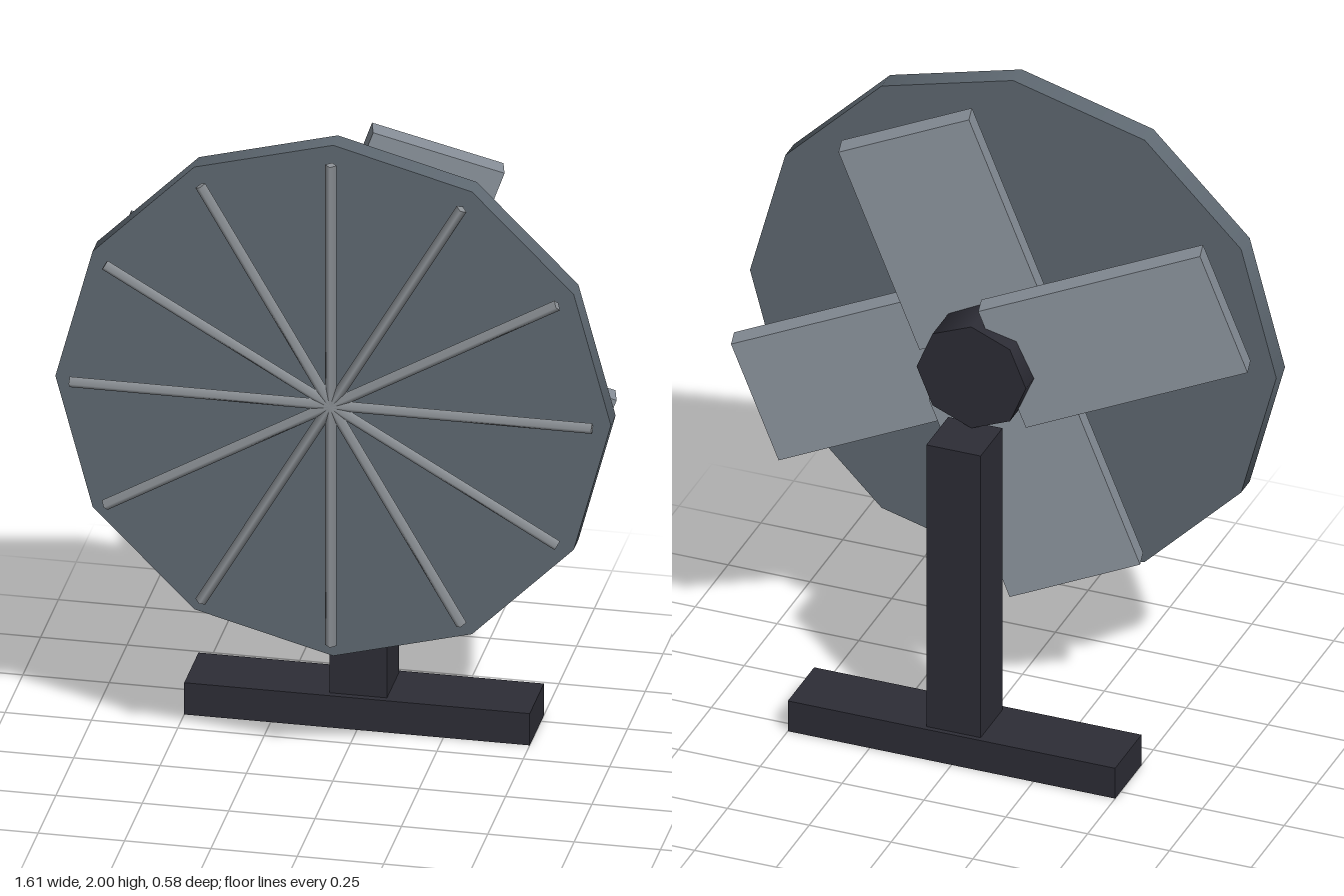
import * as THREE from 'three';

const mat = (name, color) => {
  const m = new THREE.MeshStandardMaterial({ color });
  m.name = name;
  return m;
};

export function createModel() {
  const frameMat = mat('dark frame', 0x2d2d36);
  const discMat = mat('slate disc', 0x606a73);
  const bladeMat = mat('grey blade', 0x8a929b);
  const spokeMat = mat('light spoke', 0x90959a);

  const model = new THREE.Group();
  const CY = 1.196; // height of the fan axis

  const add = (name, geometry, material, x, y, z) => {
    const mesh = new THREE.Mesh(geometry, material);
    mesh.name = name;
    mesh.position.set(x, y, z);
    model.add(mesh);
    return mesh;
  };

  // Stand
  add('base', new THREE.BoxGeometry(1.0, 0.1, 0.2), frameMat, 0, 0.05, -0.19);
  add('post', new THREE.BoxGeometry(0.166, 0.93, 0.166), frameMat, 0, 0.565, -0.192);

  // Octagonal motor hub, axis along z
  const hubGeo = new THREE.CylinderGeometry(0.167, 0.167, 0.3, 8).rotateX(Math.PI / 2);
  add('hub', hubGeo, frameMat, 0, CY, 0.01);

  // Four pitched blades around the hub
  const bladeGeo = new THREE.BoxGeometry(0.675, 0.397, 0.066);
  for (let i = 0; i < 4; i++) {
    const a = -0.35 + i * Math.PI / 2;
    const blade = add('blade', bladeGeo, bladeMat, 0.402 * Math.cos(a), CY + 0.402 * Math.sin(a), 0.009);
    blade.rotation.set(0, 0.25, a);
  }

  // Twelve-sided guard disc in front of the blades
  const discGeo = new THREE.CylinderGeometry(0.804, 0.804, 0.066, 12).rotateX(Math.PI / 2);
  add('guardDisc', discGeo, discMat, 0, CY, 0.212);

  // Thin four-sided rods radiating across the guard
  const spokeGeo = new THREE.CylinderGeometry(0.0165, 0.0165, 0.756, 4).translate(0, 0.378, 0);
  for (let i = 0; i < 12; i++) {
    add('spoke', spokeGeo, spokeMat, 0, CY, 0.276).rotation.z = i * Math.PI / 6;
  }

  return model;
}
